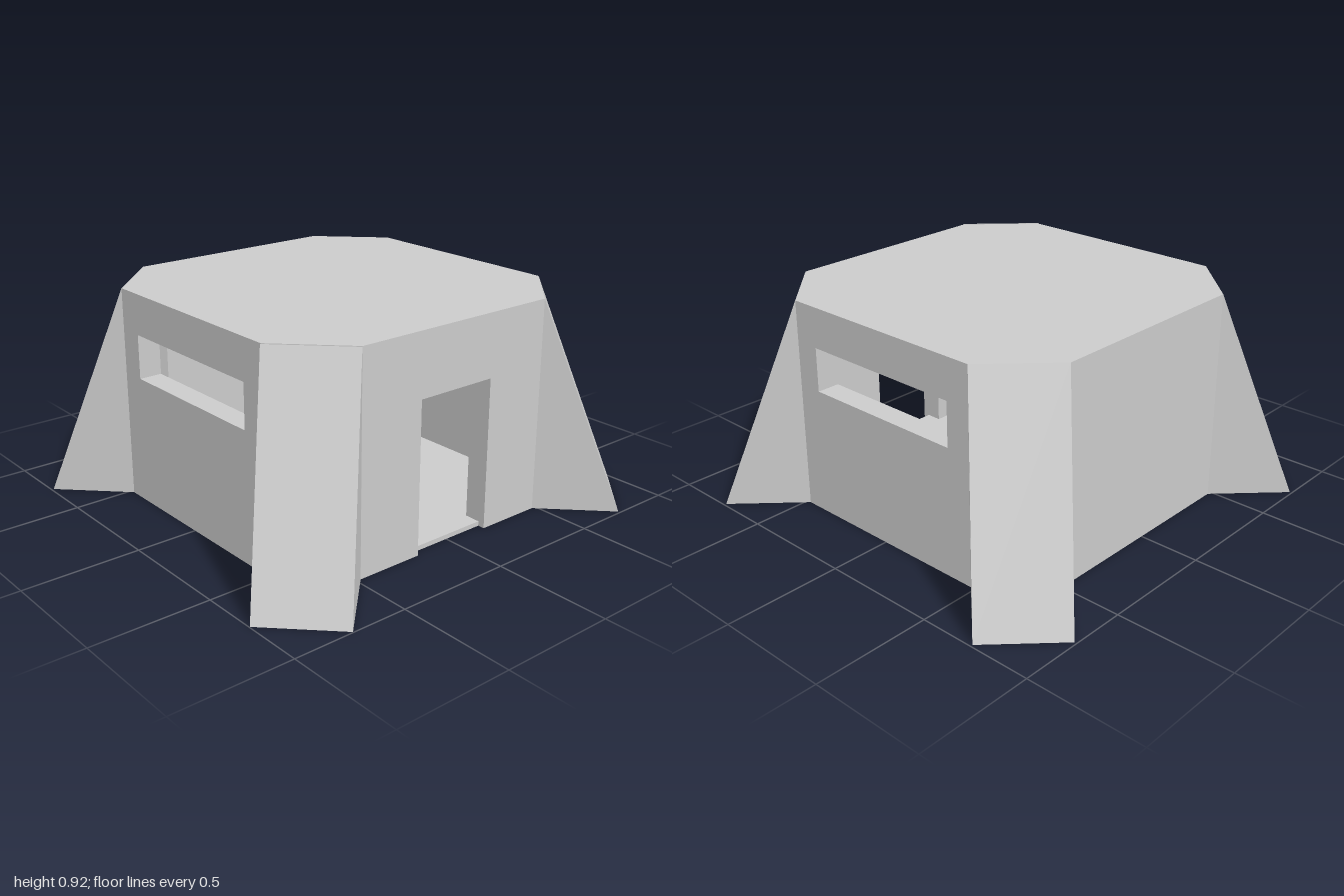
import * as THREE from 'three';

const SIDE = 0.735;      // centre to straight wall
const CORNER = 0.48;     // half length of a straight wall
const H = 0.92;          // total height
const ROOF = 0.1;        // roof thickness
const T = 0.1;           // wall thickness
const FLOOR = 0.02;
const CHAMFER_DIST = (SIDE + CORNER) / Math.SQRT2;
const CHAMFER_HALF = (SIDE - CORNER) / Math.SQRT2;
const MITRE = T * Math.tan(Math.PI / 8);
const DOOR = { half: 0.185, top: 0.65 };

const material = new THREE.MeshStandardMaterial({ color: 0xcccccc, flatShading: true });

function add(parent, name, geometry) {
  const mesh = new THREE.Mesh(geometry, material);
  mesh.name = name;
  parent.add(mesh);
  return mesh;
}

function extrude(shape, depth) {
  return new THREE.ExtrudeGeometry(shape, { depth, bevelEnabled: false });
}

function polygon(points) {
  return new THREE.Shape(points.map(([x, y]) => new THREE.Vector2(x, y)));
}

// Octagon with long sides at distance s and half length c, counter-clockwise,
// starting with the side that becomes the front (+z) once laid flat.
function octagon(s, c) {
  return [[-c, -s], [c, -s], [s, -c], [s, c], [c, s], [-c, s], [-s, c], [-s, -c]];
}

// Wall panel with its outer face on z = 0 and mitred ends
function wallGeometry(half, opening) {
  const h = H - ROOF;
  const outline = [[-half, 0]];
  if (opening === 'door') {
    const { half: d, top } = DOOR;
    outline.push([-d, 0], [-d, top], [d, top], [d, 0]);
  }
  outline.push([half, 0], [half, h], [-half, h]);
  const shape = polygon(outline);
  if (opening === 'window') {
    shape.holes.push(polygon([[-0.37, 0.555], [-0.37, 0.745], [0.37, 0.745], [0.37, 0.555]]));
  }
  const geometry = extrude(shape, T).translate(0, 0, -T);
  const p = geometry.attributes.position;
  for (let i = 0; i < p.count; i++) {
    const x = p.getX(i);
    if (p.getZ(i) < -T / 2 && Math.abs(x) > half - 1e-4) p.setX(i, Math.sign(x) * (half - MITRE));
  }
  geometry.computeVertexNormals();
  return geometry;
}

export function createModel() {
  const bunker = new THREE.Group();
  bunker.name = 'bunker';

  // Eight walls: door in front, a slit window on each side, solid elsewhere
  const openings = { 0: 'door', 2: 'window', 6: 'window' };
  const names = { 0: 'frontWall', 2: 'leftWall', 4: 'backWall', 6: 'rightWall' };
  for (let i = 0; i < 8; i++) {
    const straight = i % 2 === 0;
    const angle = (i * Math.PI) / 4;
    const dist = straight ? SIDE : CHAMFER_DIST;
    const geometry = wallGeometry(straight ? CORNER : CHAMFER_HALF, openings[i]);
    const wall = add(bunker, names[i] || 'cornerWall', geometry);
    wall.rotation.y = angle;
    wall.position.set(Math.sin(angle) * dist, 0, Math.cos(angle) * dist);
  }

  // Roof slab
  const roof = extrude(polygon(octagon(SIDE, CORNER)), ROOF).rotateX(-Math.PI / 2);
  add(bunker, 'roof', roof).position.y = H - ROOF;

  // Floor slab with a threshold reaching into the doorway
  const s = SIDE - T;
  const sill = SIDE - 0.03;
  const [first, ...rest] = octagon(s, CORNER - MITRE);
  const d = DOOR.half;
  const floor = polygon([first, [-d, -s], [-d, -sill], [d, -sill], [d, -s], ...rest]);
  add(bunker, 'floor', extrude(floor, FLOOR).rotateX(-Math.PI / 2));

  // Sloping buttress against each corner
  const width = 2 * CHAMFER_HALF;
  const wedge = extrude(polygon([[0, 0], [width, 0], [0, H]]), width).translate(0, 0, -width / 2);
  for (let i = 0; i < 4; i++) {
    const angle = Math.PI / 4 + (i * Math.PI) / 2;
    const dist = CHAMFER_DIST + (i === 2 ? 0.01 : 0);
    const buttress = add(bunker, 'buttress', wedge);
    buttress.rotation.y = angle;
    buttress.position.set(Math.cos(angle) * dist, 0, -Math.sin(angle) * dist);
  }

  return bunker;
}
